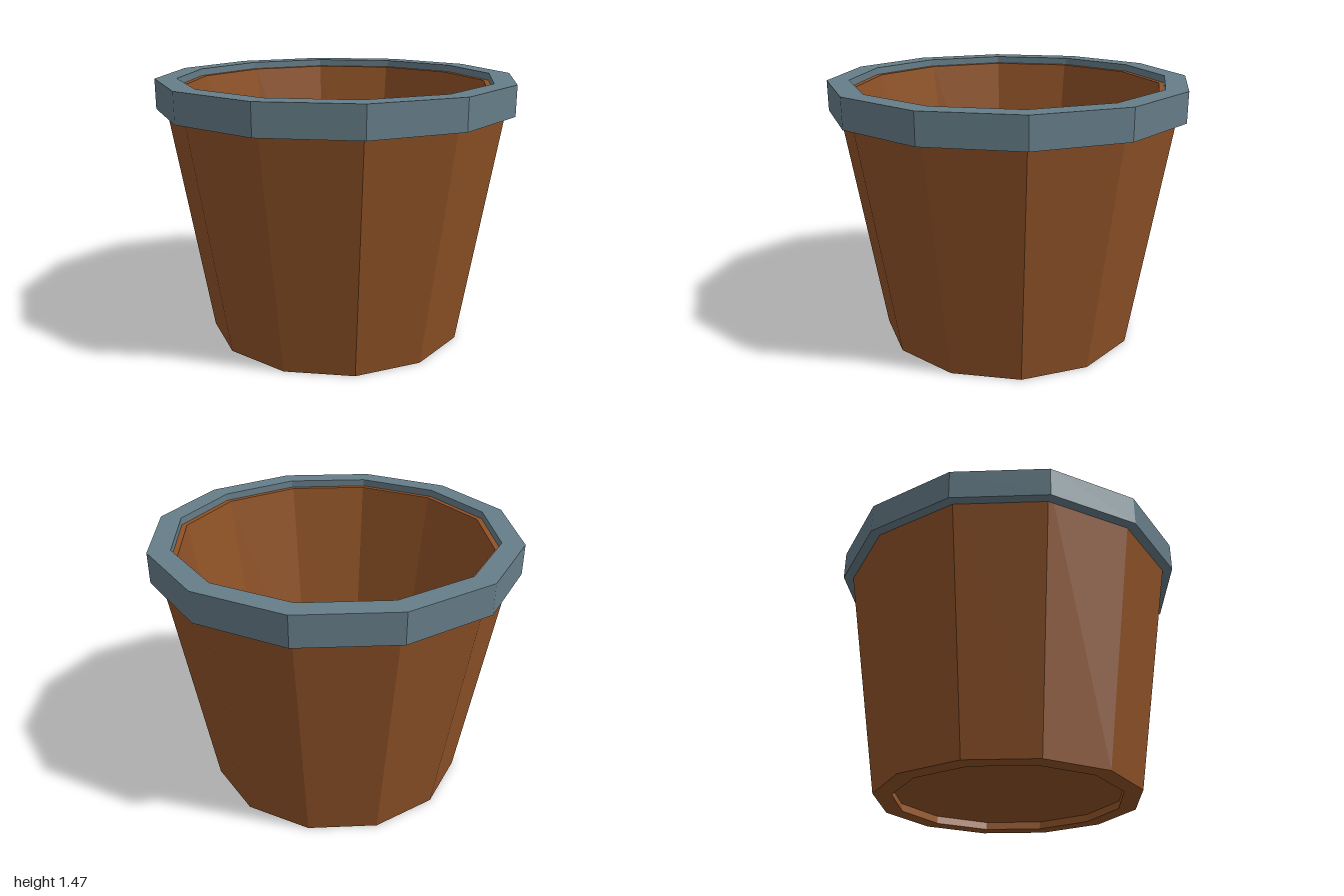
import * as THREE from 'three';

const SIDES = 12;

// Closed ring: cross-section of [radius, height] points, inner bottom -> outer bottom -> outer top -> inner top
function ring(name, section, material) {
  const points = [...section, section[0]].map(([r, y]) => new THREE.Vector2(r, y));
  const mesh = new THREE.Mesh(new THREE.LatheGeometry(points, SIDES), material);
  mesh.name = name;
  return mesh;
}

export function createModel() {
  const brown = new THREE.MeshStandardMaterial({ color: 0x8f5227, flatShading: true, side: THREE.DoubleSide });
  brown.name = 'brown wood';
  const slate = new THREE.MeshStandardMaterial({ color: 0x667d88, flatShading: true });
  slate.name = 'blue grey metal';

  const group = new THREE.Group();
  group.name = 'bucket';

  // Tapered wall, open at both ends
  group.add(ring('wall', [[0.634, 0], [0.735, 0], [0.965, 1.43], [0.85, 1.43]], brown));

  // Rim band, standing slightly above the wall
  group.add(ring('rim', [[0.88, 1.305], [1, 1.305], [1, 1.47], [0.88, 1.47]], slate));

  // Floor, set a little above the foot of the wall
  const floor = new THREE.Mesh(new THREE.CircleGeometry(0.641, SIDES), brown);
  floor.name = 'floor';
  floor.rotation.x = -Math.PI / 2;
  floor.position.y = 0.045;
  group.add(floor);

  return group;
}
